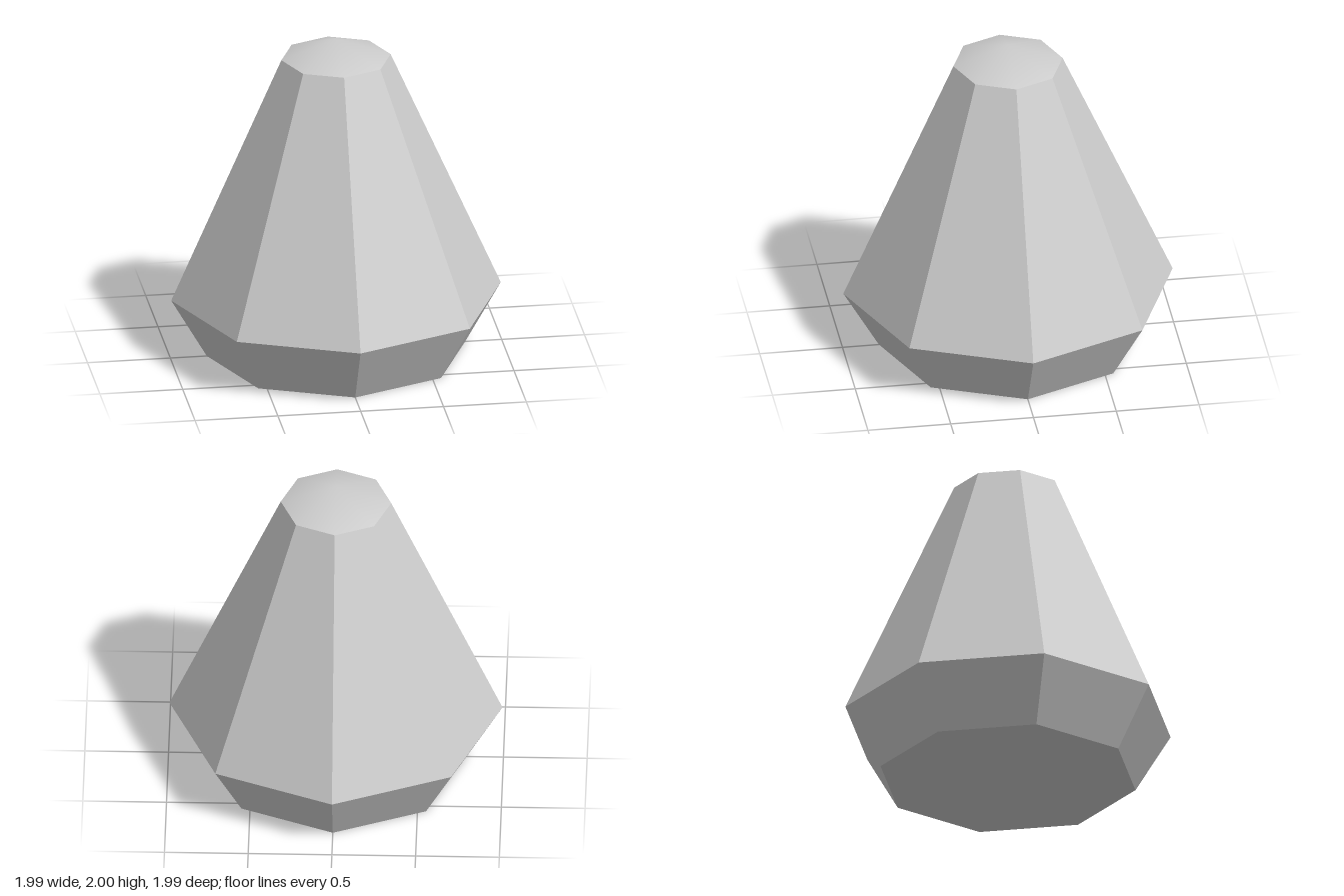
import * as THREE from 'three';
import { mergeVertices } from 'three/addons/utils/BufferGeometryUtils.js';

const SIDES = 8;

export function createModel() {
  const group = new THREE.Group();
  group.name = 'taperedStone';

  const paleGrey = new THREE.MeshStandardMaterial({ name: 'paleGrey', color: 0xcccccc });

  const add = (name, geometry) => {
    const mesh = new THREE.Mesh(geometry, paleGrey);
    mesh.name = name;
    group.add(mesh);
  };

  // Open faceted ring between two heights
  const facetedRing = (bottomRadius, topRadius, y0, y1) => {
    const ring = new THREE.CylinderGeometry(topRadius, bottomRadius, y1 - y0, SIDES, 1, true)
      .translate(0, (y0 + y1) / 2, 0)
      .toNonIndexed();
    ring.computeVertexNormals();
    return ring;
  };

  // Flat underside
  add('underside', new THREE.CircleGeometry(0.78, SIDES).rotateX(Math.PI / 2));

  // Flaring base and tall tapering body
  add('base', facetedRing(0.78, 0.995, 0, 0.37));
  add('body', facetedRing(0.995, 0.33, 0.37, 1.88));

  // Shallow pointed cap, smoothly shaded across its facets
  let cap = new THREE.ConeGeometry(0.33, 0.12, SIDES, 1, true).translate(0, 1.94, 0);
  cap.deleteAttribute('uv');
  cap.deleteAttribute('normal');
  cap = mergeVertices(cap);
  cap.computeVertexNormals();
  add('cap', cap);

  return group;
}
